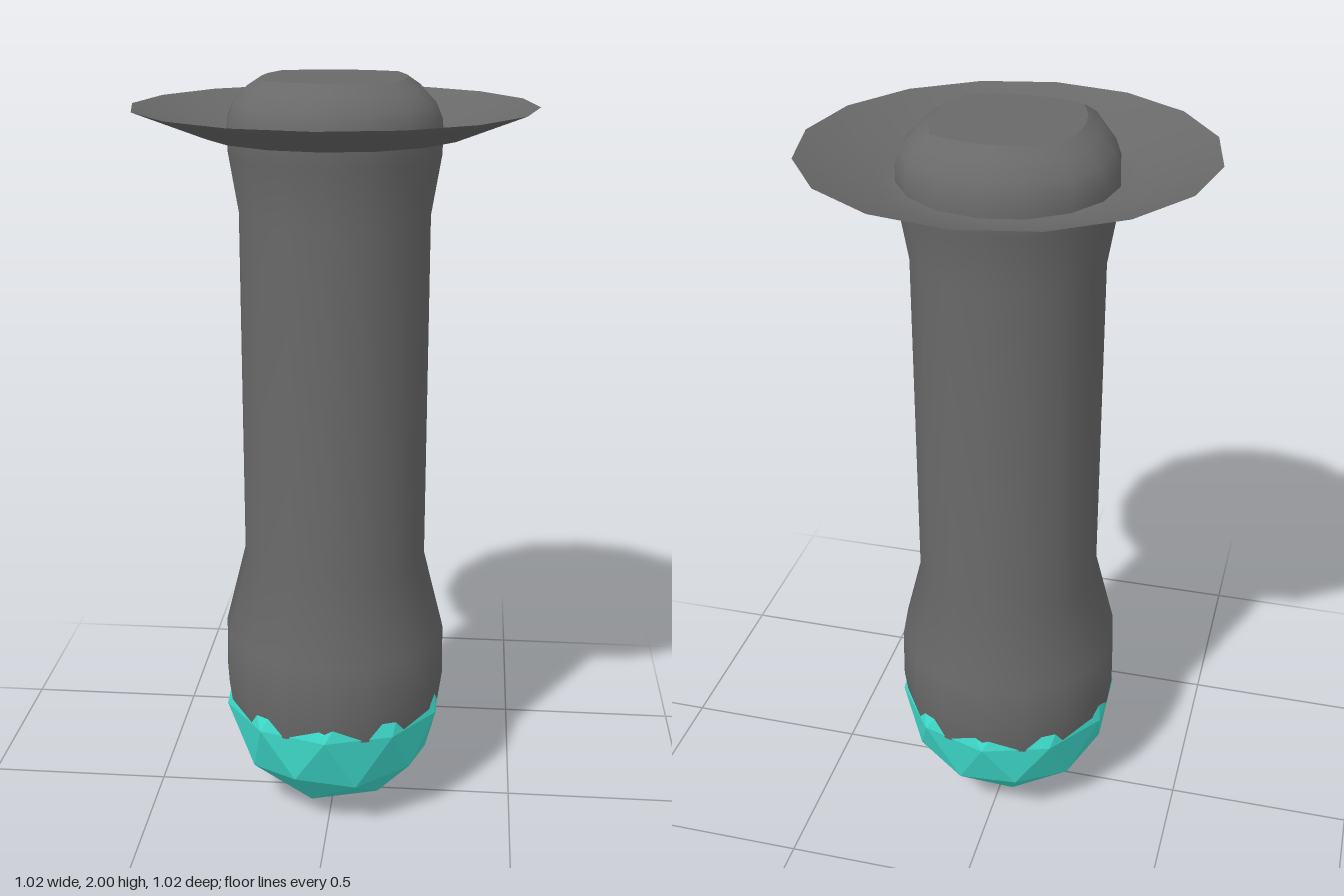
import * as THREE from 'three';

const SIDES = 16;

// Lathe from [radius, height] pairs; rings above the flange turn slightly square
function turned(points) {
  const geo = new THREE.LatheGeometry(points.map(([r, y]) => new THREE.Vector2(r, y)), SIDES);
  const p = geo.attributes.position;
  for (let i = 0; i < p.count; i++) {
    const x = p.getX(i), z = p.getZ(i);
    const t = THREE.MathUtils.clamp((p.getY(i) - 1.88) / 0.12, 0, 1);
    const k = 1 + 0.16 * t * Math.sin(2 * Math.atan2(z, x)) ** 4;
    p.setX(i, x * k);
    p.setZ(i, z * k);
  }
  return geo;
}

export function createModel() {
  const group = new THREE.Group();
  const grey = new THREE.MeshStandardMaterial({ color: 0x696969, side: THREE.DoubleSide });
  grey.name = 'dark grey';
  const teal = new THREE.MeshStandardMaterial({ color: 0x40e0d0, flatShading: true });
  teal.name = 'turquoise';

  const add = (name, geo, mat) => {
    const mesh = new THREE.Mesh(geo, mat);
    mesh.name = name;
    group.add(mesh);
  };

  // Shaft with a swollen lower end and a flared neck
  add('shaft', turned([
    [0.291, 0.298], [0.302, 0.38], [0.3, 0.52], [0.245, 0.74],
    [0.245, 1.66], [0.27, 1.81], [0.272, 1.86],
  ]), grey);
  add('shaftBase', turned([[0, 0.298], [0.291, 0.298]]), grey);

  // Rounded cap and its flat top
  add('cap', turned([
    [0.272, 1.86], [0.27, 1.9], [0.253, 1.94], [0.22, 1.975], [0.182, 2],
  ]), grey);
  const top = turned([[0.182, 2], [0, 2]]);
  add('capTop', top, grey);

  // Thin dished flange
  const flange = new THREE.LatheGeometry(
    [[0.51, 1.93], [0.33, 1.86], [0.26, 1.86]].map(([r, y]) => new THREE.Vector2(r, y)), SIDES);
  add('flange', flange, grey);

  // Faceted tip, standing on one of its corners
  const tip = new THREE.IcosahedronGeometry(0.304, 1);
  tip.rotateZ(-Math.atan(2 / (1 + Math.sqrt(5))));
  tip.translate(0, 0.304, 0);
  add('tip', tip, teal);

  return group;
}
